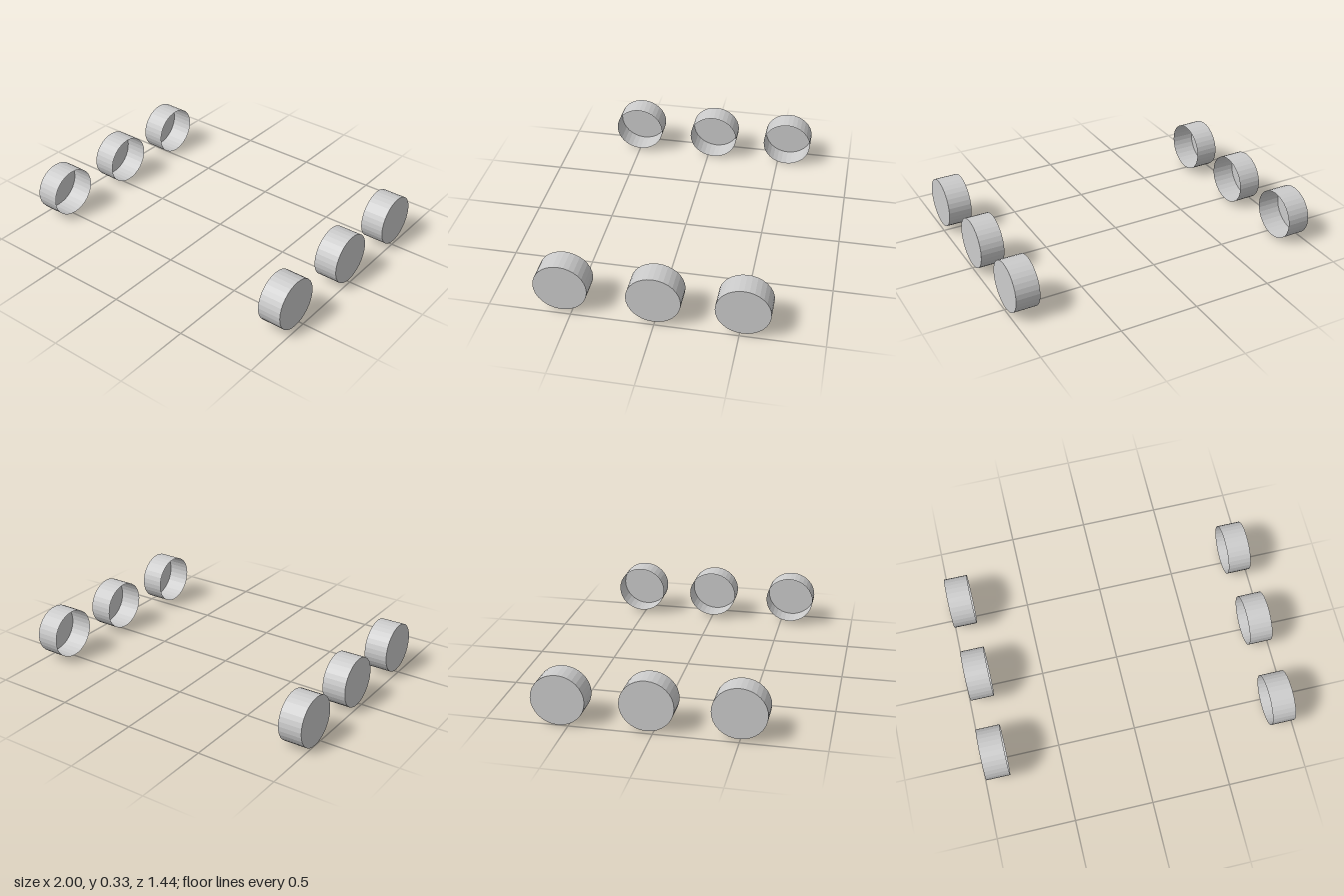
import * as THREE from 'three';

const DEPTH = 0.15, RADIUS_Y = 0.156, RADIUS_Z = 0.1625;

// Thin cup along x: closed disc on the outer side, open toward the middle
function cupGeometry(side) {
  const profile = [[1, -DEPTH / 2], [1, DEPTH / 2], [0, DEPTH / 2]].map(([r, h]) => new THREE.Vector2(r, h));
  return new THREE.LatheGeometry(profile, 32)
    .scale(RADIUS_Y, 1, RADIUS_Z)
    .rotateZ(-side * Math.PI / 2);
}

export function createModel() {
  const model = new THREE.Group();
  model.name = 'wheelCovers';
  const material = new THREE.MeshStandardMaterial({
    color: 0xcccccc, flatShading: true, side: THREE.DoubleSide,
  });

  // Centres of the covers, front to back; the two rows are slightly offset
  const rows = [
    { name: 'left', side: 1, tilt: 0, centres: [[0.912, 0.178, 0.56], [0.92, 0.178, 0.004], [0.922, 0.176, -0.518]] },
    { name: 'right', side: -1, tilt: -0.01, centres: [[-0.91, 0.173, 0.496], [-0.91, 0.167, -0.038], [-0.924, 0.159, -0.56]] },
  ];
  const places = ['Front', 'Middle', 'Rear'];

  for (const { name, side, tilt, centres } of rows) {
    const geometry = cupGeometry(side);
    centres.forEach((centre, i) => {
      const cover = new THREE.Mesh(geometry, material);
      cover.name = `${name}${places[i]}WheelCover`;
      cover.position.set(...centre);
      cover.rotation.z = tilt;
      model.add(cover);
    });
  }
  return model;
}
